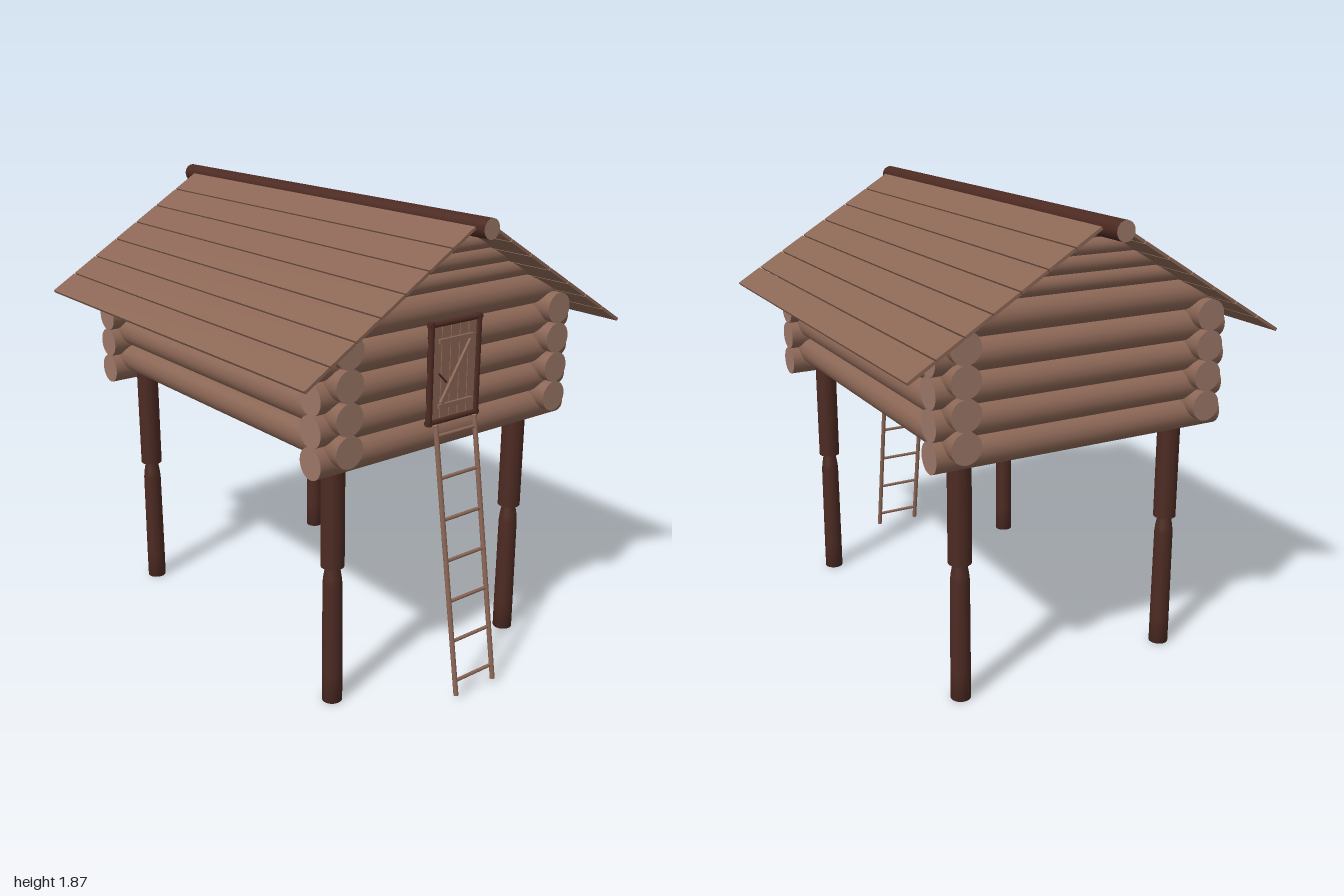
import * as THREE from 'three';

const mat = (color) => new THREE.MeshStandardMaterial({ color });
const V = (x, y, z) => new THREE.Vector3(x, y, z);

export function createModel() {
  const model = new THREE.Group();
  const wood = mat(0x8b6655), cut = mat(0x9c7768), dark = mat(0x4c2a22), floorWood = mat(0x5f493d);

  const add = (name, geometry, material, parent = model) => {
    const mesh = new THREE.Mesh(geometry, material);
    mesh.name = name;
    parent.add(mesh);
    return mesh;
  };
  const group = (name) => {
    const g = new THREE.Group();
    g.name = name;
    model.add(g);
    return g;
  };
  // Round pole from a to b, with its own material on the sawn ends
  const pole = (name, a, b, r, side, end, parent, segments = 24) => {
    const geometry = new THREE.CylinderGeometry(r, r, a.distanceTo(b), segments);
    const mesh = add(name, geometry, [side, end, end], parent);
    mesh.position.copy(a).add(b).multiplyScalar(0.5);
    mesh.quaternion.setFromUnitVectors(V(0, 1, 0), b.clone().sub(a).normalize());
    return mesh;
  };

  // Log walls: long and cross logs are staggered by half a log
  const walls = group('logWalls');
  for (const s of [-1, 1]) {
    for (let i = 0; i < 4; i++) {
      const yLong = 1.085 + i * 0.1205, yCross = 1.037 + i * 0.1195;
      pole('longLog', V(-0.835, yLong, s * 0.525), V(0.84, yLong, s * 0.525), 0.061, wood, cut, walls);
      const x = 0.003 + s * 0.739;
      pole('crossLog', V(x, yCross, -0.625), V(x, yCross, 0.625), 0.061, wood, cut, walls);
    }
  }

  // Gable logs, ends sawn along the roof slope
  const slope = 0.61;
  const gables = group('gables');
  for (const s of [-1, 1]) {
    for (const [y, r] of [[1.518, 0.061], [1.612, 0.036], [1.678, 0.036], [1.735, 0.031]]) {
      const geometry = new THREE.CylinderGeometry(r, r, 2, 24);
      geometry.rotateX(Math.PI / 2);
      const p = geometry.attributes.position;
      for (let i = 0; i < p.count; i++) {
        p.setZ(i, p.getZ(i) * (1.838 - y - p.getY(i)) / slope);
      }
      add('gableLog', geometry, [wood, cut, cut], gables).position.set(0.003 + s * 0.739, y, 0);
    }
  }

  // Floor
  add('floor', new THREE.BoxGeometry(1.46, 0.03, 1.04), floorWood).position.set(0.003, 1.045, 0);

  // Roof planks and ridge log
  const roof = group('roof');
  const plank = new THREE.BoxGeometry(1.84, 0.012, 0.119);
  for (const s of [-1, 1]) {
    for (let i = 0; i < 7; i++) {
      const z = 0.09 + i * 0.107;
      const mesh = add('roofPlank', plank, wood, roof);
      mesh.position.set(0.005, 1.855 - slope * z, s * z);
      mesh.rotation.x = s * Math.atan(slope);
    }
  }
  pole('ridgeLog', V(-1, 1.829, 0), V(0.965, 1.829, 0), 0.038, dark, cut, roof);

  // Stilts: thick upper part on a necked lower part
  const stilts = group('stilts');
  const profile = [[0, 0], [0.04, 0], [0.04, 0.12], [0.038, 0.5], [0.035, 0.53], [0.027, 0.575], [0.027, 0.59]]
    .map(([r, y]) => new THREE.Vector2(r, y));
  const lower = new THREE.LatheGeometry(profile, 24);
  for (const x of [-0.674, 0.68]) {
    for (const z of [-0.474, 0.474]) {
      add('lowerStilt', lower, dark, stilts).position.set(x, 0, z);
      pole('upperStilt', V(x, 0.575, z), V(x, 1.04, z), 0.046, dark, dark, stilts);
    }
  }

  // Door: planks, Z-brace, handle and frame
  const door = group('door');
  const box = (name, y, z, h, w, x, depth, angle = 0) => {
    const mesh = add(name, new THREE.BoxGeometry(depth, h, w), wood, door);
    mesh.position.set(x, y, z);
    mesh.rotation.x = angle;
  };
  for (let i = 0; i < 5; i++) box('doorPlank', 1.28, -0.09 + i * 0.045, 0.37, 0.041, 0.798, 0.014);
  box('upperBatten', 1.405, 0, 0.018, 0.17, 0.81, 0.012);
  box('lowerBatten', 1.155, -0.005, 0.018, 0.17, 0.81, 0.012);
  box('brace', 1.28, -0.007, 0.27, 0.016, 0.81, 0.012, -Math.atan2(0.15, 0.235));
  pole('handle', V(0.812, 1.285, 0.085), V(0.812, 1.245, 0.045), 0.004, dark, dark, door, 8);
  for (const s of [-1, 1]) {
    pole('doorJamb', V(0.803, 1.085, s * 0.12), V(0.803, 1.482, s * 0.12), 0.013, dark, dark, door, 12);
    const y = 1.283 + s * 0.187;
    pole('doorRail', V(0.803, y, -0.133), V(0.803, y, 0.133), 0.011, dark, dark, door, 12);
  }

  // Leaning ladder
  const ladder = group('ladder');
  const ladderX = (y) => 0.988 - 0.154 * y;
  for (const s of [-1, 1]) {
    pole('ladderRail', V(ladderX(0.022), 0.022, s * 0.1), V(ladderX(1.09), 1.09, s * 0.1), 0.01, wood, cut, ladder, 12);
  }
  for (let i = 0; i < 7; i++) {
    const y = 0.081 + i * 0.161;
    pole('rung', V(ladderX(y), y, -0.1), V(ladderX(y), y, 0.1), 0.007, wood, cut, ladder, 10);
  }

  return model;
}
